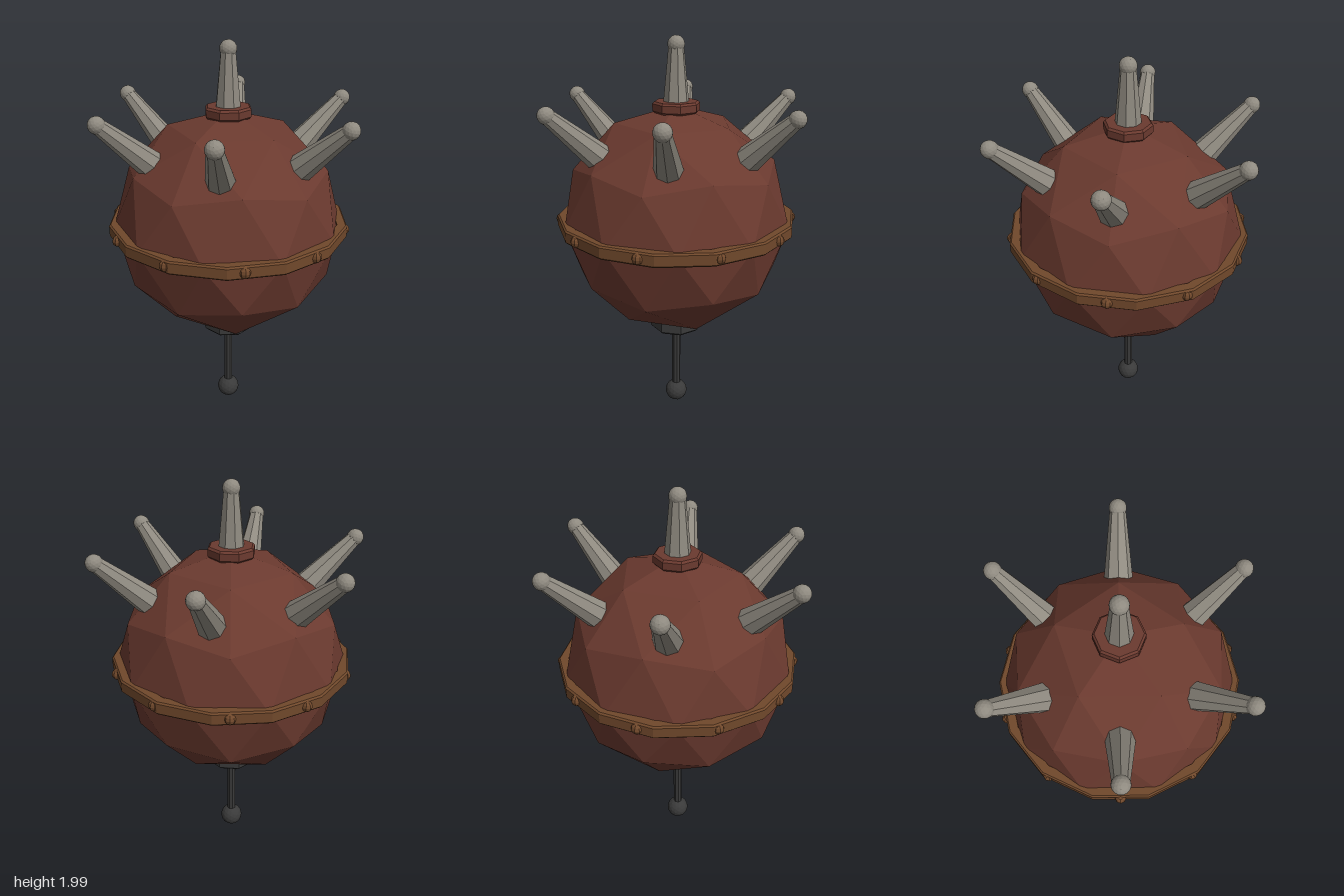
import * as THREE from 'three';

const material = (color) => new THREE.MeshStandardMaterial({ color, flatShading: true });
const shell = material(0x6b3a2f);
const bandBrown = material(0x70482b);
const bone = material(0x8f8a80);
const iron = material(0x3a3a3a);

const CENTRE = 1.09;

function mesh(name, geometry, mat, y = 0) {
  const m = new THREE.Mesh(geometry, mat);
  m.name = name;
  m.position.y = y;
  return m;
}

// Turned part from [radius, y] pairs, listed from bottom to top
function turned(points, sides) {
  return new THREE.LatheGeometry(points.map(([r, y]) => new THREE.Vector2(r, y)), sides);
}

// Solid disc with small bevels
function collar(radius, bottom, top, bevel, sides) {
  return turned([
    [0, bottom], [radius - bevel, bottom], [radius, bottom + bevel],
    [radius, top - bevel], [radius - bevel, top], [0, top],
  ], sides);
}

// Tapered spike with a ball tip, pointing up from the body's centre
function spike(name) {
  const g = new THREE.Group();
  g.name = name;
  g.position.y = CENTRE;
  g.add(mesh('spikeShaft', new THREE.CylinderGeometry(0.037, 0.071, 0.345, 8), bone, 0.6925));
  g.add(mesh('spikeTip', new THREE.IcosahedronGeometry(0.042, 2), bone, 0.868));
  return g;
}

export function createModel() {
  const model = new THREE.Group();
  model.name = 'spikedBall';

  // Faceted body, turned so that a corner sits at each pole
  const ball = new THREE.IcosahedronGeometry(0.58, 1);
  ball.rotateZ(-Math.atan(2 / (1 + Math.sqrt(5))));
  model.add(mesh('body', ball, shell, CENTRE));

  // Band round the middle
  const h = 0.033, b = 0.008, outer = 0.606, inner = 0.555;
  model.add(mesh('band', turned([
    [inner, -h], [outer - b, -h], [outer, -h + b],
    [outer, h - b], [outer - b, h], [inner, h], [inner, -h],
  ], 14), bandBrown, CENTRE));

  // Studs on the band
  for (let i = 0; i < 10; i++) {
    const a = (i * Math.PI) / 5;
    const stud = mesh('stud', new THREE.SphereGeometry(0.028, 8, 6), bandBrown, CENTRE);
    stud.position.x = Math.cos(a) * 0.588;
    stud.position.z = Math.sin(a) * 0.588;
    stud.rotation.y = -a;
    model.add(stud);
  }

  // Top cap and upright spike
  model.add(mesh('topCap', collar(0.118, 1.635, 1.69, 0.01, 8), shell));
  model.add(spike('topSpike'));

  // Ring of six leaning spikes
  for (let i = 0; i < 6; i++) {
    const s = spike('sideSpike');
    s.rotation.set(0, (i * Math.PI) / 3, -THREE.MathUtils.degToRad(48.3));
    model.add(s);
  }

  // Bottom collar, rod and pommel
  model.add(mesh('bottomCollar', collar(0.138, 0.472, 0.55, 0.012, 8), iron));
  model.add(mesh('rod', new THREE.CylinderGeometry(0.023, 0.023, 0.42, 8), iron, 0.28));
  model.add(mesh('pommel', new THREE.IcosahedronGeometry(0.059, 2), iron, 0.063));

  return model;
}
